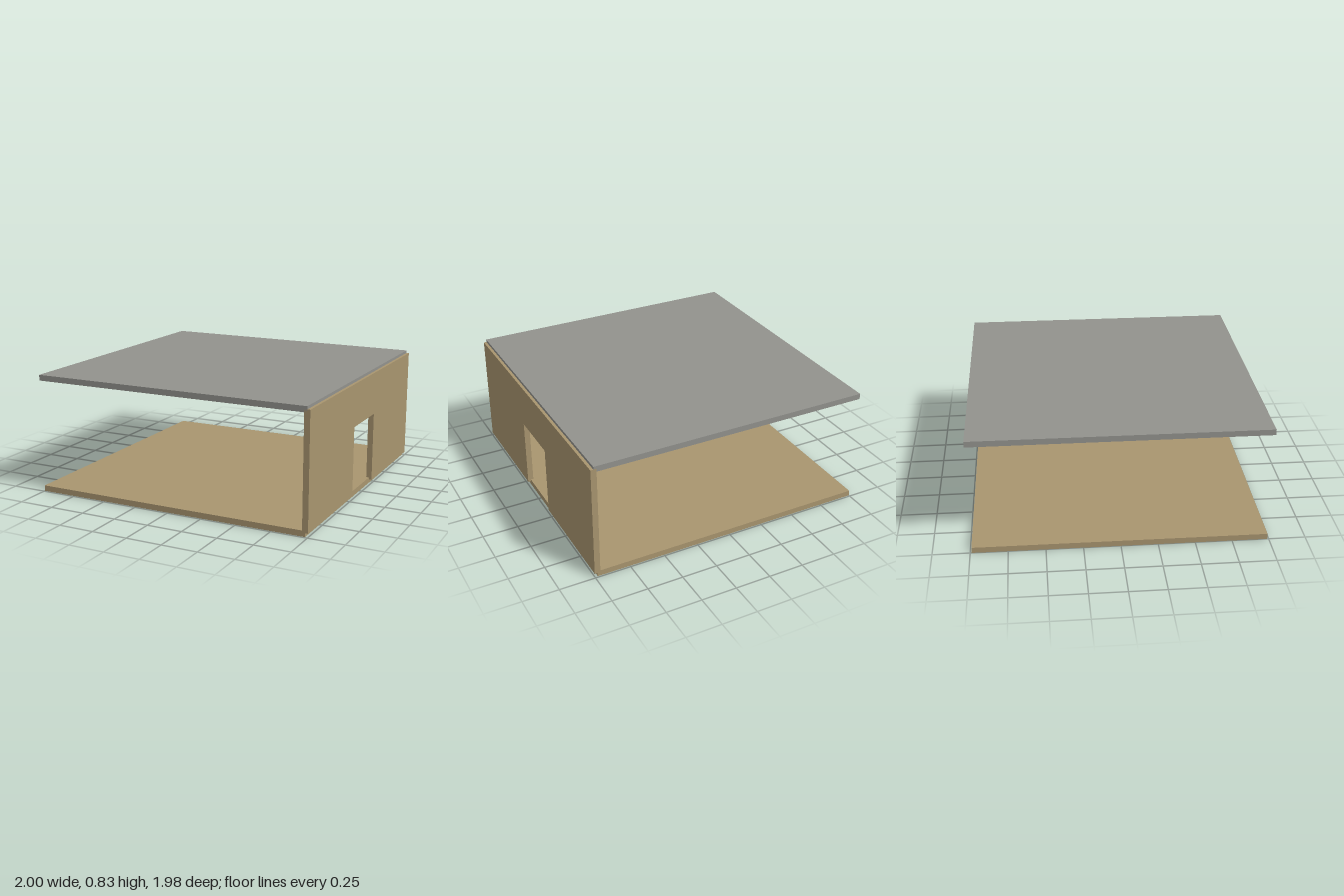
import * as THREE from 'three';

export function createModel() {
  const tan = new THREE.MeshStandardMaterial({ color: 0xa8956f });
  tan.name = 'tan';
  const grey = new THREE.MeshStandardMaterial({ color: 0x92928d });
  grey.name = 'grey';
  const black = new THREE.MeshStandardMaterial({ color: 0x0a0a0a });
  black.name = 'black';

  const model = new THREE.Group();
  model.name = 'openRoom';
  const half = 0.99, thick = 0.04;

  const add = (name, geometry, material, x, y, z) => {
    const mesh = new THREE.Mesh(geometry, material);
    mesh.name = name;
    mesh.position.set(x, y, z);
    model.add(mesh);
    return mesh;
  };

  // Floor and roof slabs, stopping at the middle of the wall
  const slab = new THREE.BoxGeometry(1.98, thick, 2 * half);
  add('floor', slab, tan, -0.01, 0.02, 0);
  add('roof', slab, grey, -0.01, 0.815, 0);

  // Side wall, with a doorway open down to its lower edge
  const bottom = 0.025, top = 0.815, doorHalf = 0.2, doorTop = 0.515;
  const outline = new THREE.Shape([
    [-half, bottom], [-doorHalf, bottom], [-doorHalf, doorTop], [doorHalf, doorTop],
    [doorHalf, bottom], [half, bottom], [half, top], [-half, top],
  ].map(([u, v]) => new THREE.Vector2(u, v)));
  const wallGeometry = new THREE.ExtrudeGeometry(outline, { depth: thick, bevelEnabled: false });
  add('doorWall', wallGeometry, tan, 1, 0, 0).rotation.y = -Math.PI / 2;

  // Rectangular frame hanging under the roof
  const w = 0.275, d = 0.123, bar = 0.022;
  const rectangle = (a, b) => [[-a, -b], [a, -b], [a, b], [-a, b]].map(([u, v]) => new THREE.Vector2(u, v));
  const frame = new THREE.Shape(rectangle(w, d));
  frame.holes.push(new THREE.Path(rectangle(w - bar, d - bar).reverse()));
  const frameGeometry = new THREE.ExtrudeGeometry(frame, { depth: 0.02, bevelEnabled: false });
  add('ceilingFrame', frameGeometry, black, -0.01, 0.775, -0.44).rotation.x = -Math.PI / 2;

  return model;
}
